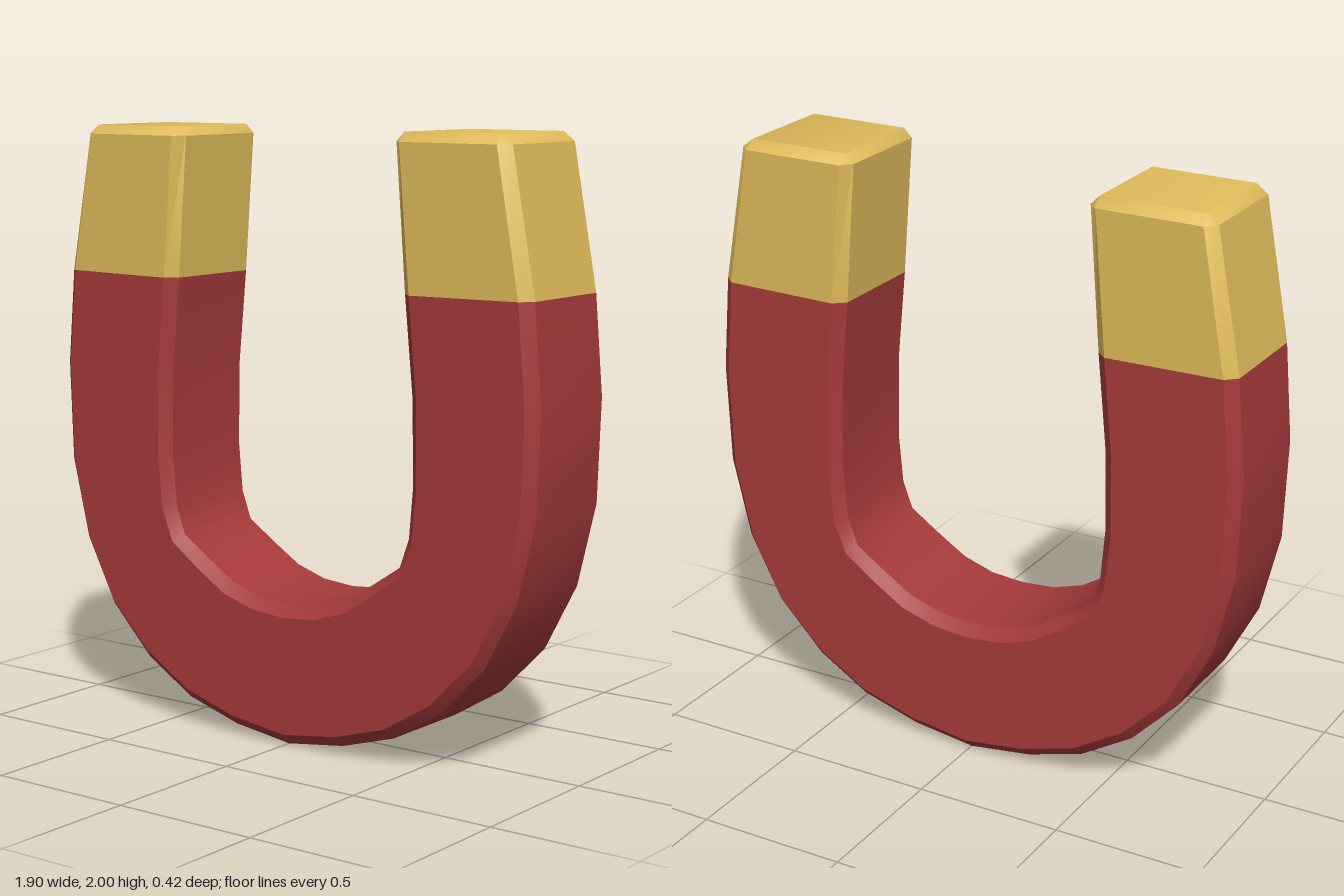
import * as THREE from 'three';
import { toCreasedNormals } from 'three/addons/utils/BufferGeometryUtils.js';

const DEPTH = 0.21;   // half thickness
const SIDE = 0.175;   // half width of the flat outer and inner faces
const BEVEL = 0.08;   // bevel as a fraction of the arm width

// Half of the horseshoe, bottom to tip: outer x, y and inner x, y
const half = [
  [0, 0, 0, 0.465],
  [0.22, 0.03, 0.12, 0.475],
  [0.42, 0.09, 0.23, 0.51],
  [0.6, 0.2, 0.335, 0.575],
  [0.76, 0.365, 0.44, 0.645],
  [0.875, 0.585, 0.475, 0.74],
  [0.94, 0.855, 0.49, 0.91],
  [0.952, 1.19, 0.485, 1.19],
  [0.925, 1.51, 0.455, 1.505],
  [0.84, 1.97, 0.42, 1.97],
  [0.8, 2, 0.45, 2],
];
const TIP = half.length - 1;

// Bevelled eight-point section; the tip's end ring shrinks to a rectangle
function section(k) {
  const [ox, oy, ix, iy] = half[Math.abs(k)];
  const mirror = k < 0 ? -1 : 1;
  const end = Math.abs(k) === TIP;
  const z = end ? SIDE : DEPTH;
  const b = end ? 0 : BEVEL;
  const ring = [
    [0, -SIDE], [b, -z], [1 - b, -z], [1, -SIDE],
    [1, SIDE], [1 - b, z], [b, z], [0, SIDE],
  ];
  return ring.map(([t, pz]) => [mirror * (ox + (ix - ox) * t), oy + (iy - oy) * t, pz]);
}

// Skin the sections from station a to station b, capping the tips
function loft(a, b) {
  const pos = [];
  const tri = (...p) => p.forEach((v) => pos.push(...v));
  for (let k = a; k < b; k++) {
    const r = section(k), s = section(k + 1);
    for (let j = 0; j < 8; j++) {
      const n = (j + 1) % 8;
      tri(r[j], r[n], s[n]);
      tri(r[j], s[n], s[j]);
    }
  }
  const first = section(a), last = section(b);
  if (a === -TIP) {
    tri(first[0], first[4], first[3]);
    tri(first[0], first[7], first[4]);
  }
  if (b === TIP) {
    tri(last[0], last[3], last[4]);
    tri(last[0], last[4], last[7]);
  }
  const geo = new THREE.BufferGeometry();
  geo.setAttribute('position', new THREE.Float32BufferAttribute(pos, 3));
  return toCreasedNormals(geo, 0.68);
}

export function createModel() {
  const red = new THREE.MeshStandardMaterial({ name: 'red', color: 0xa63a3b });
  const gold = new THREE.MeshStandardMaterial({ name: 'gold', color: 0xdfbb5a });

  const group = new THREE.Group();
  group.name = 'horseshoeMagnet';
  const add = (name, a, b, material) => {
    const mesh = new THREE.Mesh(loft(a, b), material);
    mesh.name = name;
    group.add(mesh);
  };

  // Curved body and the two pole tips
  add('curvedBody', 2 - TIP, TIP - 2, red);
  add('rightPoleTip', -TIP, 2 - TIP, gold);
  add('leftPoleTip', TIP - 2, TIP, gold);
  return group;
}
